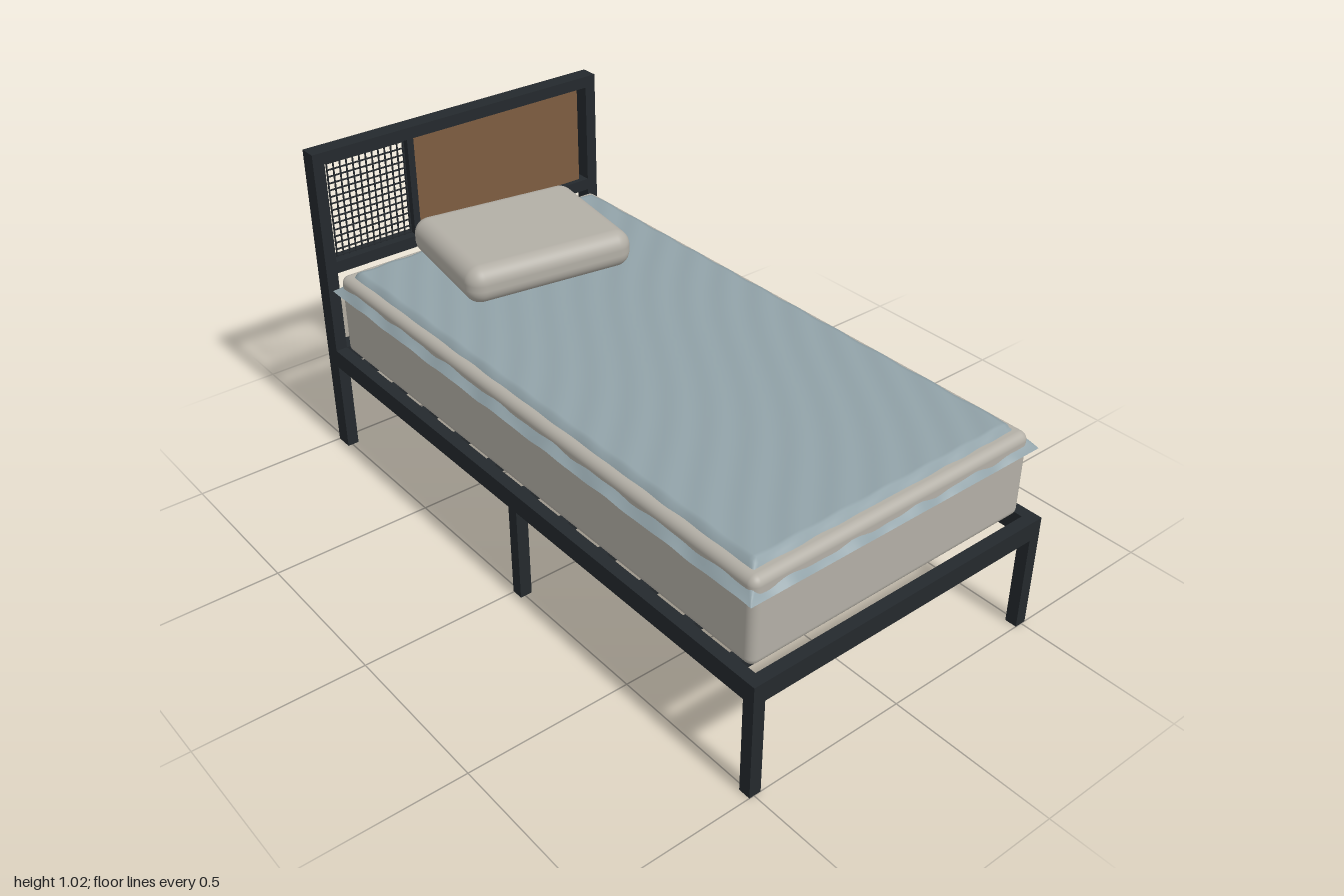
import * as THREE from 'three';
import { RoundedBoxGeometry } from 'three/addons/geometries/RoundedBoxGeometry.js';

const mat = (color, side = THREE.FrontSide) => {
  const m = new THREE.MeshStandardMaterial({ color });
  m.side = side;
  return m;
};

export function createModel() {
  const bed = new THREE.Group();
  bed.name = 'bed';
  const metal = mat(0x24292d);
  const wood = mat(0x7d5d40);
  const linen = mat(0xb3afa6);
  const cloth = mat(0x91a2a8, THREE.DoubleSide);

  // Box given by its lower and upper corner
  const box = (name, x0, x1, y0, y1, z0, z1, material = metal, parent = bed) => {
    const mesh = new THREE.Mesh(new THREE.BoxGeometry(x1 - x0, y1 - y0, z1 - z0), material);
    mesh.position.set((x0 + x1) / 2, (y0 + y1) / 2, (z0 + z1) / 2);
    mesh.name = name;
    parent.add(mesh);
    return mesh;
  };

  const W = 0.515, T = 0.037, IN = W - T;
  const RAIL0 = 0.3, RAIL1 = 0.36, HEAD = -0.944;

  // Legs, headboard posts and side rails, mirrored left and right
  for (const s of [-1, 1]) {
    const x0 = s < 0 ? -W : IN, x1 = x0 + T;
    box('frontLeg', x0, x1, 0, RAIL0, 1 - T, 1);
    box('middleLeg', x0, x1, 0, RAIL0, -0.003, 0.034);
    box('headboardPost', x0, x1, 0, 1.022, -1, HEAD);
    box('sideRail', x0, x1, RAIL0, RAIL1, HEAD, 1);
  }
  box('footRail', -IN, IN, RAIL0, RAIL1, 1 - T, 1);
  box('headRail', -IN, IN, RAIL0, RAIL1, -1, HEAD);

  // Slats under the mattress
  const SLATS = 11;
  for (let i = 0; i < SLATS; i++) {
    const z = -0.83 + (i * 1.72) / (SLATS - 1);
    box('slat', -IN, IN, 0.325, 0.358, z - 0.02, z + 0.02);
  }

  // Headboard
  const headboard = new THREE.Group();
  headboard.name = 'headboard';
  bed.add(headboard);
  box('topRail', -IN, IN, 0.985, 1.022, -1, HEAD, metal, headboard);
  box('middleRail', -IN, IN, 0.623, 0.661, -1, HEAD, metal, headboard);
  box('divider', -0.192, -0.17, 0.661, 0.985, -0.99, -0.954, metal, headboard);
  box('woodPanel', -0.17, 0.455, 0.661, 0.985, -0.982, -0.962, wood, headboard);

  // Wire mesh beside the panel
  const mesh = new THREE.Group();
  mesh.name = 'wireMesh';
  headboard.add(mesh);
  const wire = 0.002, X0 = -0.459, X1 = -0.197;
  for (let i = 0; i <= 12; i++) {
    const x = X0 + ((X1 - X0) * i) / 12;
    box('verticalWire', x - wire, x + wire, 0.661, 0.985, -0.974, -0.97, metal, mesh);
  }
  for (let i = 0; i < 15; i++) {
    const y = 0.668 + i * 0.0218;
    box('horizontalWire', X0, X1, y - wire, y + wire, -0.97, -0.966, metal, mesh);
  }

  // Mattress
  const mattress = new THREE.Mesh(new RoundedBoxGeometry(0.964, 0.266, 1.88, 5, 0.025), linen);
  mattress.position.set(0, 0.491, 0.01);
  mattress.name = 'mattress';
  bed.add(mattress);

  // Blanket: flat rippled top that drops to a flared, wavy hem
  const HW = 0.503, HL = 0.953;
  const geo = new THREE.PlaneGeometry(2, 2, 64, 110);
  geo.rotateX(-Math.PI / 2);
  const p = geo.attributes.position;
  for (let i = 0; i < p.count; i++) {
    const x = HW * Math.sin((p.getX(i) * Math.PI) / 2);
    const z = HL * Math.sin((p.getZ(i) * Math.PI) / 2);
    const d = Math.max(0, Math.min(HW - Math.abs(x), HL - Math.abs(z)));
    const t = Math.max(0, 1 - d / 0.06);
    const ripple = 0.002 * Math.sin(48 * (x + 0.8 * z) + 1.5 * Math.sin(5 * x - 3 * z));
    const wave = Math.sin(31 * x + 27 * z) + 0.6 * Math.sin(57 * x - 49 * z);
    const y = 0.641 - 0.07 * Math.pow(t, 0.8) + ripple * (1 - t) + 0.0035 * t * wave;
    const flare = 1 + 0.003 * t * wave;
    p.setXYZ(i, x * flare, y, z * flare);
  }
  geo.computeVertexNormals();
  const blanket = new THREE.Mesh(geo, cloth);
  blanket.position.z = 0.012;
  blanket.name = 'blanket';
  bed.add(blanket);

  // Pillow, turned slightly on the bed
  const pillow = new THREE.Mesh(new RoundedBoxGeometry(0.545, 0.118, 0.45, 6, 0.05), linen);
  pillow.position.set(-0.002, 0.699, -0.642);
  pillow.rotation.y = -0.15;
  pillow.name = 'pillow';
  bed.add(pillow);

  return bed;
}
